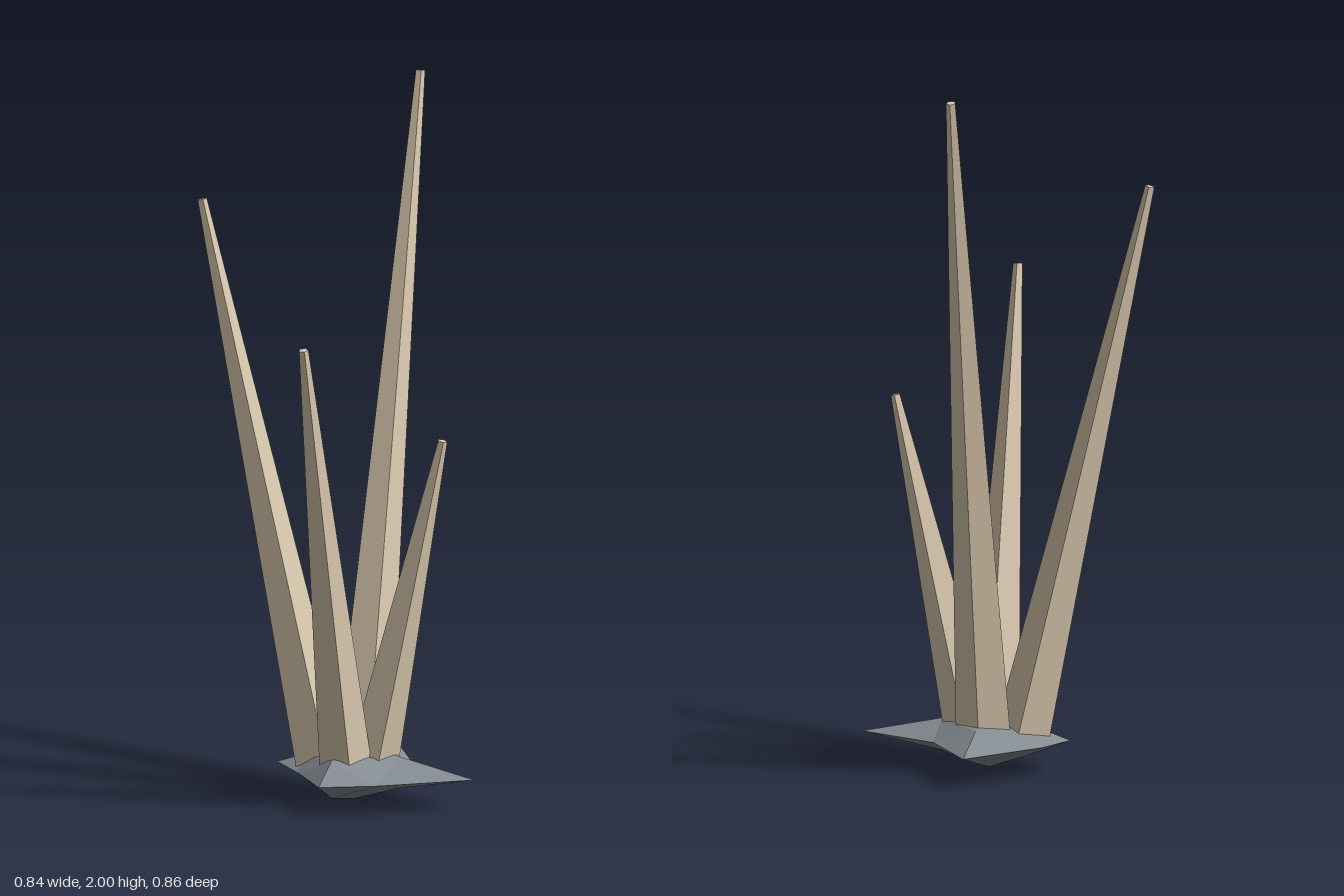
import * as THREE from 'three';

const CX = 0.055, CZ = 0.055; // centre of the cluster

// Faceted rock: a stretched, once-divided octahedron
function makeBase(material) {
  const rimY = 0.09;
  // rim points (x, z), from +x round through +z
  const rim = [[0.42, CZ], [0.2, 0.23], [CX, 0.31], [-0.07, 0.165],
    [-0.18, CZ], [-0.125, -0.06], [CX, -0.268], [0.188, -0.06]]
    .map(([x, z]) => [x, rimY, z]);
  const upper = [[0.19, 0.138, CZ], [CX, 0.145, 0.22], [-0.1, 0.118, CZ], [CX, 0.138, -0.11]];
  const lower = [[0.19, 0.046, CZ], [CX, 0.04, 0.22], [-0.065, 0.045, CZ], [CX, 0.05, -0.12]];
  const pos = [];
  const half = (mids, pole, flip) => {
    const tri = (a, b, c) => pos.push(...a, ...(flip ? c : b), ...(flip ? b : c));
    for (let k = 0; k < 4; k++) {
      const a = rim[2 * k], b = rim[2 * k + 1], c = rim[(2 * k + 2) % 8];
      const m = mids[k], n = mids[(k + 1) % 4];
      tri(a, b, m);
      tri(b, c, n);
      tri(m, b, n);
      tri(m, n, pole);
    }
  };
  half(upper, [CX, 0.16, CZ], true);
  half(lower, [CX, 0.004, CZ], false);
  const geo = new THREE.BufferGeometry();
  geo.setAttribute('position', new THREE.Float32BufferAttribute(pos, 3));
  geo.computeVertexNormals();
  const mesh = new THREE.Mesh(geo, material);
  mesh.name = 'rockBase';
  return mesh;
}

// Five-sided tapered spike running from foot to tip
function makeSpike(name, foot, tip, radius, material) {
  const a = new THREE.Vector3(...foot), b = new THREE.Vector3(...tip);
  const dir = b.clone().sub(a);
  const geo = new THREE.CylinderGeometry(0.014, radius, dir.length(), 5);
  geo.rotateY(Math.PI);
  const mesh = new THREE.Mesh(geo, material);
  mesh.name = name;
  mesh.position.copy(a).add(b).multiplyScalar(0.5);
  mesh.quaternion.setFromUnitVectors(new THREE.Vector3(0, 1, 0), dir.normalize());
  return mesh;
}

export function createModel() {
  const group = new THREE.Group();
  group.name = 'spikeCluster';
  const stone = new THREE.MeshStandardMaterial({ color: 0x858c92, flatShading: true });
  const bone = new THREE.MeshStandardMaterial({ color: 0xdccbb0, flatShading: true });

  group.add(makeBase(stone));

  // Spikes lean outwards, each with its own length
  const spikes = [
    ['backSpike', [CX, 0.1, 0.013], [CX, 1.997, -0.418], 0.083],
    ['rightSpike', [-0.045, 0.1, CZ], [-0.408, 1.685, CZ], 0.083],
    ['frontSpike', [CX, 0.1, 0.126], [CX, 1.37, 0.42], 0.08],
    ['leftSpike', [0.102, 0.1, CZ], [0.323, 1.056, CZ], 0.079],
  ];
  for (const [name, foot, tip, r] of spikes) group.add(makeSpike(name, foot, tip, r, bone));
  return group;
}
